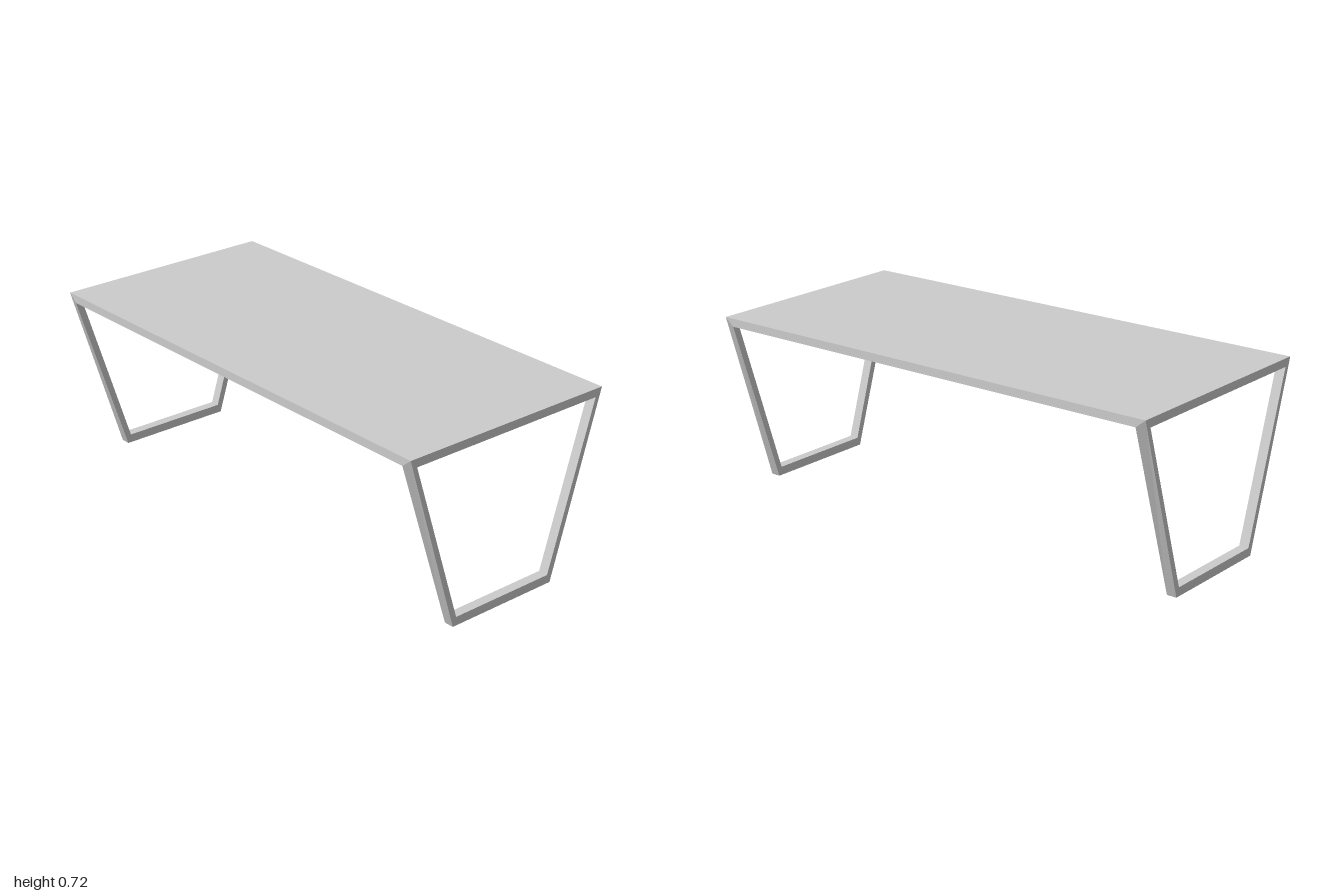
import * as THREE from 'three';

const HEIGHT = 0.72, UNDER = 0.687, HALF_DEPTH = 0.465, BAR = 0.04;

function outline(points, Type = THREE.Shape) {
  return new Type(points.map(([x, y]) => new THREE.Vector2(x, y)));
}

export function createModel() {
  const model = new THREE.Group();
  const material = new THREE.MeshStandardMaterial({ color: 0xcccccc, flatShading: true });

  // Table top with mitred ends that meet the leg frames
  const topShape = outline([[-1 + BAR, UNDER], [1 - BAR, UNDER], [1, HEIGHT], [-1, HEIGHT]]);
  const topGeometry = new THREE.ExtrudeGeometry(topShape, { depth: 2 * HALF_DEPTH, bevelEnabled: false });
  topGeometry.translate(0, 0, -HALF_DEPTH);
  const top = new THREE.Mesh(topGeometry, material);
  top.name = 'tableTop';
  model.add(top);

  // Tapered leg frame: a trapezoid loop
  const frameShape = outline([[-0.245, 0], [0.245, 0], [HALF_DEPTH, HEIGHT], [-HALF_DEPTH, HEIGHT]]);
  frameShape.holes.push(outline(
    [[-0.23, 0.035], [-0.435, UNDER], [0.435, UNDER], [0.23, 0.035]], THREE.Path));
  const frameGeometry = new THREE.ExtrudeGeometry(frameShape, { depth: BAR, bevelEnabled: false });

  // Lower the inner top edge to form the mitre under the table top
  const pos = frameGeometry.attributes.position;
  for (let i = 0; i < pos.count; i++) {
    if (pos.getZ(i) < 0.001 && pos.getY(i) > UNDER + 0.01) pos.setY(i, UNDER);
  }
  frameGeometry.computeVertexNormals();
  frameGeometry.rotateY(Math.PI / 2);
  frameGeometry.translate(1 - BAR, 0, 0);

  // One frame at each end
  for (const [name, turn] of [['leftLegFrame', 0], ['rightLegFrame', Math.PI]]) {
    const frame = new THREE.Mesh(frameGeometry, material);
    frame.name = name;
    frame.rotation.y = turn;
    model.add(frame);
  }
  return model;
}
